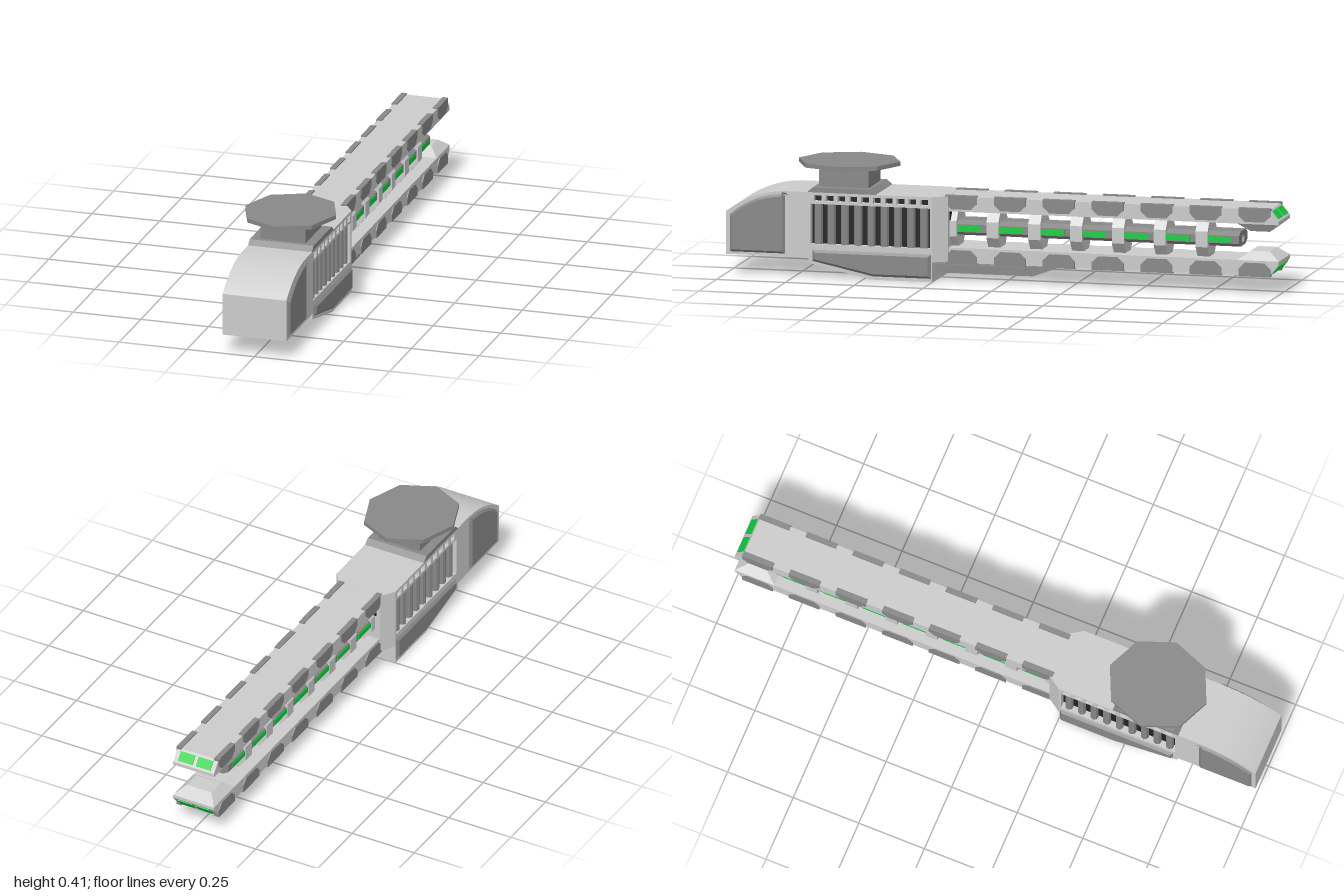
import * as THREE from 'three';
import { toCreasedNormals } from 'three/addons/utils/BufferGeometryUtils.js';

const light = new THREE.MeshStandardMaterial({ color: 0xcccccc, flatShading: true });
const smooth = new THREE.MeshStandardMaterial({ color: 0xcccccc });
const dark = new THREE.MeshStandardMaterial({ color: 0x888888, flatShading: true });
const black = new THREE.MeshStandardMaterial({ color: 0x222222 });
const green = new THREE.MeshStandardMaterial({ color: 0x10d040 });

function add(parent, name, geometry, material, x = 0, y = 0, z = 0) {
  const mesh = new THREE.Mesh(geometry, material);
  mesh.name = name;
  mesh.position.set(x, y, z);
  parent.add(mesh);
  return mesh;
}

// Box given by its limits
function block(parent, name, material, [x0, x1], [y0, y1], [z0, z1]) {
  return add(parent, name, new THREE.BoxGeometry(x1 - x0, y1 - y0, z1 - z0), material,
    (x0 + x1) / 2, (y0 + y1) / 2, (z0 + z1) / 2);
}

const toShape = pts => new THREE.Shape(pts.map(p => new THREE.Vector2(...p)));

// Side outline of [z, y] points, extruded across x from x0 to x1
function sideExtrude(shape, x0, x1, bevel = 0) {
  const geo = new THREE.ExtrudeGeometry(shape, {
    depth: x1 - x0 - 2 * bevel, bevelEnabled: bevel > 0, bevelSegments: 1,
    bevelThickness: bevel, bevelSize: bevel, bevelOffset: -bevel,
  });
  geo.rotateY(-Math.PI / 2);
  geo.translate(x1 - bevel, 0, 0);
  return geo;
}

// Four-sided block of height h whose lower and upper rectangles differ
function frustum([bw, bd], [tw, td], h) {
  const geo = new THREE.BoxGeometry(1, h, 1);
  const p = geo.attributes.position;
  for (let i = 0; i < p.count; i++) {
    const top = p.getY(i) > 0;
    p.setX(i, p.getX(i) * (top ? tw : bw));
    p.setZ(i, p.getZ(i) * (top ? td : bd));
  }
  geo.computeVertexNormals();
  return geo;
}

// Eight-sided section with sloping shoulders, optionally hollow, along z
function octSection(inner, high, outer, low, depth, bore = 0) {
  const shape = toShape([[inner, high], [-inner, high], [-outer, low], [-outer, -low],
    [-inner, -high], [inner, -high], [outer, -low], [outer, low]]);
  if (bore) shape.holes.push(new THREE.Path().absarc(0, 0, bore, 0, Math.PI * 2, true));
  return new THREE.ExtrudeGeometry(shape, { depth, bevelEnabled: false, curveSegments: 6 });
}

function noseShape(z0, z1, y0, drop) {
  const s = new THREE.Shape();
  s.moveTo(z0, y0);
  s.lineTo(z1, y0);
  s.lineTo(z1, 0.222 - drop);
  s.quadraticCurveTo(0.9, 0.3 - drop, 0.78, 0.303 - drop);
  s.lineTo(z0, 0.303 - drop);
  return s;
}

function buildBody(root) {
  const body = new THREE.Group();
  body.name = 'body';
  root.add(body);

  add(body, 'nose', toCreasedNormals(sideExtrude(noseShape(0.7, 1, 0.07, 0), -0.118, 0.118), 0.5), smooth);
  block(body, 'ventCore', black, [-0.093, 0.093], [0.09, 0.3], [0.25, 0.7]);
  block(body, 'roof', light, [-0.118, 0.118], [0.295, 0.303], [0.25, 0.7]);
  const under = [[0.7, 0.1], [0.7, 0.05], [0.47, 0], [0.25, 0], [0.25, 0.1]];
  add(body, 'underbody', sideExtrude(toShape(under), -0.118, 0.118), light);

  // Tapered rear collar
  const collar = frustum([0.236, 0.233], [0.17, 0.233], 0.05);
  collar.rotateX(-Math.PI / 2);
  add(body, 'rearCollar', collar, light, 0, 0.187, 0.225);
  block(body, 'rearRecess', black, [-0.07, 0.07], [0.215, 0.245], [0.197, 0.201]);

  // Vent frame with a large opening and a row of small ones above
  const frame = toShape([[0.25, 0.1], [0.7, 0.1], [0.7, 0.3], [0.25, 0.3]]);
  const hole = (z0, z1, y0, y1) => frame.holes.push(
    new THREE.Path([[z0, y0], [z0, y1], [z1, y1], [z1, y0]].map(p => new THREE.Vector2(...p))));
  hole(0.258, 0.692, 0.118, 0.262);
  for (let i = 0; i < 10; i++) hole(0.265 + i * 0.043, 0.293 + i * 0.043, 0.271, 0.293);

  const lower = [[0.685, 0.098], [0.685, 0.058], [0.465, 0.012], [0.255, 0.012], [0.255, 0.098]];
  for (const side of [-1, 1]) {
    const span = (a, b) => (side > 0 ? [a, b] : [-b, -a]);
    add(body, 'ventFrame', sideExtrude(frame, ...span(0.092, 0.118)), light);
    for (let i = 0; i < 9; i++) {
      add(body, 'ventRib', new THREE.CylinderGeometry(0.015, 0.015, 0.15, 8), dark,
        side * 0.1, 0.19, 0.283 + i * 0.048);
    }
    add(body, 'nosePanel', sideExtrude(noseShape(0.785, 0.985, 0.08, 0.01), ...span(0.108, 0.126), 0.008), dark);
    add(body, 'lowerPanel', sideExtrude(toShape(lower), ...span(0.108, 0.127), 0.009), dark);
  }
}

function buildMount(root) {
  const mount = new THREE.Group();
  mount.name = 'mount';
  root.add(mount);
  add(mount, 'mountBase', frustum([0.236, 0.25], [0.236, 0.21], 0.017), dark, 0, 0.3115, 0.58);
  block(mount, 'pedestal', dark, [-0.083, 0.083], [0.32, 0.39], [0.49, 0.67]);
  const disc = new THREE.CylinderGeometry(1, 1, 0.015, 8);
  disc.scale(0.168, 1, 0.184);
  add(mount, 'topDisc', disc, dark, 0, 0.3975, 0.58);
}

// Upper rail; turned half way round it also serves as the lower one
function buildRail(name) {
  const rail = new THREE.Group();
  rail.name = name;
  const outline = [[0.22, 0.303], [0.22, 0.25], [-1, 0.25], [-1, 0.262], [-0.967, 0.303]];
  add(rail, 'railBeam', sideExtrude(toShape(outline), -0.082, 0.082), light);
  add(rail, 'railTip', frustum([0.1, 0.07], [0.164, 0.15], 0.03), light, 0, 0.235, -0.925);

  const clip = toShape([[0.058, 0.307], [-0.058, 0.307], [-0.058, 0.28], [-0.035, 0.258],
    [0.035, 0.258], [0.058, 0.28]]);
  for (const side of [-1, 1]) {
    for (let i = 0; i < 7; i++) {
      const geo = side > 0 ? sideExtrude(clip, 0.066, 0.086) : sideExtrude(clip, -0.086, -0.066);
      add(rail, 'railClip', geo, dark, 0, 0, 0.154 - i * 0.1777);
    }
    const lamp = add(rail, 'tipLamp', new THREE.BoxGeometry(0.058, 0.006, 0.036), green,
      side * 0.036, 0.2825, -0.9835);
    lamp.rotation.x = -0.89;
  }
  return rail;
}

function buildCore(root) {
  const core = new THREE.Group();
  core.name = 'barrelCore';
  root.add(core);
  add(core, 'barrel', octSection(0.035, 0.027, 0.058, 0.014, 1.06, 0.018), dark, 0, 0.187, -0.85);
  for (let i = 0; i < 7; i++) {
    add(core, 'strut', octSection(0.035, 0.065, 0.064, 0.028, 0.044, 0.018), light, 0, 0.185, 0.175 - i * 0.152);
    for (const side of [-1, 1]) {
      add(core, 'coreLamp', new THREE.BoxGeometry(0.006, 0.02, 0.116), green,
        side * 0.058, 0.187, 0.147 - i * 0.152);
    }
  }
}

export function createModel() {
  const root = new THREE.Group();
  root.name = 'railCannon';
  buildBody(root);
  buildMount(root);
  root.add(buildRail('upperRail'));
  const lower = buildRail('lowerRail');
  lower.rotation.z = Math.PI;
  lower.position.y = 0.37;
  root.add(lower);
  buildCore(root);

  // Bent conduits running under the lower rail
  const conduit = toShape([[0.26, 0.025], [0.26, 0.055], [-0.08, 0.055], [-0.14, 0.07],
    [-0.22, 0.07], [-0.1, 0.025]]);
  for (const x of [-0.035, 0.035]) {
    add(root, 'conduit', sideExtrude(conduit, x - 0.018, x + 0.018), dark);
  }
  return root;
}
